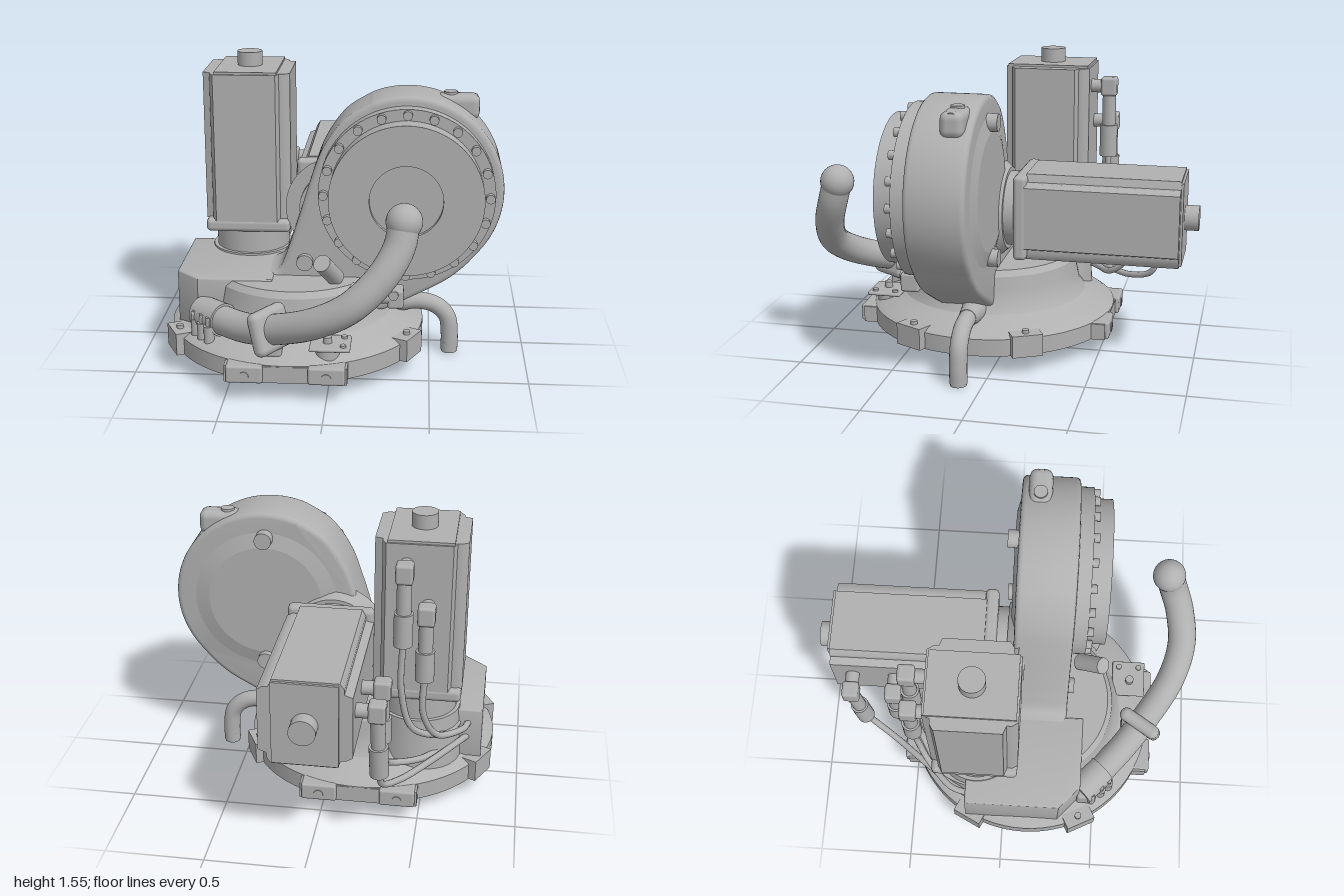
import * as THREE from 'three';
import { toCreasedNormals } from 'three/addons/utils/BufferGeometryUtils.js';
import { RoundedBoxGeometry } from 'three/addons/geometries/RoundedBoxGeometry.js';

const V = (a) => new THREE.Vector3(...a);
const UP = new THREE.Vector3(0, 1, 0);

export function createModel() {
  const root = new THREE.Group();
  const grey = new THREE.MeshStandardMaterial({ color: 0xb0b0b0 });
  grey.name = 'castGrey';

  const add = (name, geo, pos = [0, 0, 0], parent = root) => {
    const m = new THREE.Mesh(geo, grey);
    m.name = name;
    m.position.set(...pos);
    parent.add(m);
    return m;
  };
  const box = (name, size, pos, r = 0) => add(name, r
    ? new RoundedBoxGeometry(...size, 2, r) : new THREE.BoxGeometry(...size), pos);
  // Straight round bar between two points
  const rod = (name, a, b, r0, r1 = r0, seg = 28) => {
    const p = V(a), q = V(b), d = q.clone().sub(p);
    const m = add(name, new THREE.CylinderGeometry(r1, r0, d.length(), seg),
      p.clone().add(q).multiplyScalar(0.5).toArray());
    m.quaternion.setFromUnitVectors(UP, d.normalize());
    return m;
  };
  const tube = (name, pts, r, n = 48, seg = 20) =>
    add(name, new THREE.TubeGeometry(new THREE.CatmullRomCurve3(pts.map(V)), n, r, seg));
  const polygon = (pts) => new THREE.Shape(pts.map((p) => new THREE.Vector2(...p)));
  const extrude = (shape, depth, bevel = 0) => toCreasedNormals(new THREE.ExtrudeGeometry(shape, {
    depth, bevelEnabled: bevel > 0, bevelThickness: bevel, bevelSize: bevel,
    bevelOffset: -bevel, bevelSegments: 3, curveSegments: 64,
  }), 0.6);

  // Round base plate flowing up into the turret
  const CX = -0.197, CZ = 0.12;
  const profile = [[0, 0.1], [0.66, 0.1], [0.66, 0.19], [0.63, 0.212], [0.56, 0.235], [0.5, 0.265],
    [0.47, 0.31], [0.455, 0.38], [0.445, 0.45], [0.42, 0.48], [0, 0.485]];
  add('turretBase', toCreasedNormals(new THREE.LatheGeometry(
    profile.map((p) => new THREE.Vector2(...p)), 80), 0.5), [CX, 0, CZ]);
  rod('bottomBoss', [CX, 0.06, CZ], [CX, 0.11, CZ], 0.18, 0.18, 48);

  // Mounting pads on the plate rim, front and back
  for (const s of [1, -1]) {
    box('rimBlock', [0.6, 0.085, 0.16], [CX, 0.1425, CZ + s * 0.58]);
    for (const t of [1, -1]) {
      const x = CX + t * 0.2;
      box('mountingPad', [0.18, 0.09, 0.1], [x, 0.147, CZ + s * 0.63], 0.012);
      rod('padBolt', [x, 0.14, CZ + s * 0.67], [x, 0.14, CZ + s * 0.685], 0.024);
    }
  }
  // Small lugs on the plate sides
  for (const s of [1, -1]) for (const t of [1, -1]) {
    const a = t * 0.47;
    const m = box('sideLug', [0.13, 0.115, 0.16],
      [CX + s * Math.cos(a) * 0.63, 0.16, CZ + Math.sin(a) * 0.63]);
    m.rotation.y = -s * a;
    const bx = CX + s * Math.cos(a) * 0.65, bz = CZ + Math.sin(a) * 0.65;
    rod('lugBolt', [bx, 0.21, bz], [bx, 0.235, bz], 0.018);
  }

  // Connection box on the right side of the turret
  const side = extrude(polygon([[-0.8, 0.2], [-0.3, 0.2], [-0.3, -0.41],
    [-0.68, -0.41], [-0.8, -0.3]]), 0.28, 0.01);
  side.rotateX(-Math.PI / 2);
  add('connectionBox', side, [0, 0.2, 0]);

  // Arm housing: drum blended down into the turret
  const DX = 0.37, DY = 0.94;
  const hs = new THREE.Shape();
  hs.moveTo(-0.36, 0.3);
  hs.lineTo(-0.345, 0.485);
  hs.splineThru([[-0.275, 0.515], [-0.23, 0.615], [-0.175, 0.78], [-0.115, 0.975], [-0.05, 1.15],
    [0.055, 1.3], [0.19, 1.387]].map((p) => new THREE.Vector2(...p)));
  hs.absarc(DX, DY, 0.482, 1.95, -0.73, true);
  hs.splineThru([[0.66, 0.54], [0.56, 0.46], [0.377, 0.36], [0.26, 0.3]].map((p) => new THREE.Vector2(...p)));
  add('armHousing', extrude(hs, 0.25, 0.025), [0, 0, 0.045]);
  const dish = rod('housingBack', [DX, DY, 0.04], [DX, DY, 0.0], 0.455, 0.3, 64);
  dish.name = 'housingBackDish';
  rod('motorSeat', [0.005, 0.765, 0.05], [0.005, 0.765, -0.015], 0.27, 0.215, 48);
  for (const y of [1.29, 0.6]) rod('housingPlug', [DX, y, 0.05], [DX, y, -0.035], 0.045);

  // Output flange with bolt circle and recessed face
  rod('outputFlange', [DX, DY, 0.31], [DX, DY, 0.39], 0.437, 0.437, 80);
  const face = new THREE.Shape().absarc(DX, DY, 0.38, 0, Math.PI * 2);
  face.holes.push(new THREE.Path().absarc(DX, DY, 0.18, 0, Math.PI * 2, true));
  add('outputFace', extrude(face, 0.1), [0, 0, 0.39]);
  rod('outputRecess', [DX, DY, 0.38], [DX, DY, 0.465], 0.182, 0.182, 48);
  for (let i = 0; i < 20; i++) {
    const a = i * Math.PI / 10, x = DX + 0.41 * Math.cos(a), y = DY + 0.41 * Math.sin(a);
    rod('flangeBolt', [x, y, 0.38], [x, y, 0.42], 0.023, 0.023, 16);
  }

  // Lifting lug on the drum and the fittings under it
  box('liftingLug', [0.22, 0.13, 0.12], [0.615, 1.335, 0.115], 0.04);
  rod('liftingEye', [0.58, 1.35, 0.115], [0.58, 1.41, 0.115], 0.035);
  rod('liftingBar', [0.6, 1.38, 0.115], [0.71, 1.375, 0.115], 0.022);
  rod('oilPlug', [-0.14, 0.56, 0.28], [-0.14, 0.56, 0.35], 0.042);
  rod('stopPin', [0.02, 0.5, 0.38], [-0.04, 0.62, 0.5], 0.045);
  tube('hookBar', [[0.1, 0.475, 0.44], [0.18, 0.44, 0.47], [0.32, 0.43, 0.46]], 0.028, 20, 12);
  box('hookBlock', [0.08, 0.1, 0.1], [0.325, 0.43, 0.44], 0.015);
  rod('hookBolt', [0.315, 0.455, 0.48], [0.315, 0.455, 0.5], 0.024);

  // Square servo motors, built along +y
  const section = [];
  for (let i = 0; i < 4; i++) {
    for (const [x, y] of [[0.225, -0.155], [0.225, 0.155], [0.185, 0.17], [0.185, 0.195], [0.165, 0.225]]) {
      const c = [1, 0, -1, 0][i], s = [0, 1, 0, -1][i];
      section.push([x * c - y * s, x * s + y * c]);
    }
  }
  const bodyGeo = extrude(polygon(section), 0.785).rotateX(-Math.PI / 2);
  const motor = (name, pos, tilt) => {
    const g = new THREE.Group();
    g.name = name;
    g.position.set(...pos);
    g.rotation.x = tilt;
    root.add(g);
    add('motorCollar', new THREE.CylinderGeometry(0.195, 0.195, 0.16, 48), [0, 0.06, 0], g);
    add('motorFlange', new RoundedBoxGeometry(0.445, 0.07, 0.445, 2, 0.025), [0, 0.165, 0], g);
    add('motorBody', bodyGeo, [0, 0.19, 0], g);
    add('motorEndPlate', new THREE.BoxGeometry(0.32, 0.015, 0.43), [0, 0.98, 0], g);
    add('motorStub', new THREE.CylinderGeometry(0.065, 0.065, 0.08, 32), [0, 1.02, 0], g);
  };
  motor('uprightMotor', [-0.465, 0.49, -0.15], 0);
  motor('rearMotor', [0.005, 0.765, 0.06], -Math.PI / 2);
  rod('uprightMotorBoss', [-0.465, 0.2, -0.15], [-0.465, 0.5, -0.15], 0.235, 0.215, 48);

  // Plug: nub from the motor wall, elbow, then hanging body
  const plug = (wall, elbow, end) => {
    rod('plugNub', wall, elbow, 0.036);
    box('plugElbow', [0.085, 0.1, 0.085], elbow, 0.015);
    const mid = elbow.map((v, i) => v * 0.45 + end[i] * 0.55);
    rod('plugNeck', elbow, mid, 0.036);
    rod('plugSleeve', mid, end, 0.047);
  };
  const cable = (pts) => tube('cable', pts, 0.017, 50, 10);
  plug([-0.4, 1.36, -0.36], [-0.4, 1.36, -0.47], [-0.4, 0.98, -0.47]);
  plug([-0.51, 1.15, -0.36], [-0.51, 1.15, -0.47], [-0.51, 0.8, -0.47]);
  plug([-0.2, 0.8, -0.59], [-0.32, 0.8, -0.59], [-0.32, 0.51, -0.59]);
  plug([-0.2, 0.8, -0.81], [-0.32, 0.8, -0.81], [-0.33, 0.43, -0.77]);
  cable([[-0.4, 1, -0.47], [-0.4, 0.72, -0.47], [-0.46, 0.5, -0.44], [-0.62, 0.41, -0.32], [-0.68, 0.41, -0.18]]);
  cable([[-0.51, 0.82, -0.47], [-0.51, 0.6, -0.46], [-0.58, 0.45, -0.4], [-0.7, 0.42, -0.28], [-0.73, 0.41, -0.18]]);
  cable([[-0.32, 0.53, -0.59], [-0.33, 0.4, -0.58], [-0.37, 0.33, -0.5], [-0.52, 0.31, -0.4], [-0.68, 0.33, -0.18]]);
  cable([[-0.33, 0.45, -0.77], [-0.34, 0.35, -0.73], [-0.42, 0.3, -0.6], [-0.56, 0.31, -0.42], [-0.73, 0.33, -0.18]]);

  // Thick curved hose with ball end, clamp and mount
  const hose = [[-0.6, 0.31, 0.47], [-0.4, 0.325, 0.64], [-0.25, 0.37, 0.75], [-0.04, 0.465, 0.88],
    [0.13, 0.57, 0.925], [0.27, 0.71, 0.895], [0.345, 0.84, 0.845], [0.365, 0.95, 0.81]];
  tube('hose', hose, 0.075, 80, 28);
  add('hoseBallEnd', new THREE.SphereGeometry(0.086, 32, 24), hose[7]);
  const clamp = box('hoseClamp', [0.24, 0.22, 0.075], [-0.275, 0.36, 0.73], 0.035);
  clamp.lookAt(0.0, 0.45, 0.91);
  rod('hoseSocket', [-0.66, 0.305, 0.41], [-0.53, 0.315, 0.53], 0.085);
  box('hoseMount', [0.13, 0.12, 0.1], [-0.64, 0.28, 0.45], 0.015);
  for (const [x, z] of [[-0.68, 0.48], [-0.64, 0.53], [-0.6, 0.57]]) {
    rod('mountBolt', [x, 0.2, z], [x, 0.3, z], 0.026);
    rod('mountBoltHead', [x, 0.3, z], [x, 0.345, z], 0.015);
  }
  box('clampFoot', [0.1, 0.12, 0.1], [-0.27, 0.27, 0.68], 0.015);

  // Sensor plate on the front of the base
  box('sensorPlate', [0.2, 0.018, 0.18], [0.015, 0.265, 0.665], 0.008);
  rod('sensorPost', [0, 0.19, 0.67], [0, 0.262, 0.67], 0.06);
  rod('sensorPin', [0, 0.26, 0.67], [0, 0.305, 0.67], 0.022);
  for (const z of [0.61, 0.72]) rod('sensorScrew', [0.08, 0.265, z], [0.08, 0.285, z], 0.015);

  // Drain arm on the left side, bending down to the ground
  tube('drainArm', [[0.2, 0.28, CZ], [0.38, 0.285, CZ], [0.52, 0.265, CZ], [0.59, 0.2, CZ], [0.607, 0.1, CZ],
    [0.607, 0.01, CZ]], 0.045, 48, 24);
  rod('drainArmRoot', [0.22, 0.275, CZ], [0.42, 0.285, CZ], 0.075, 0.046);
  rod('drainArmTip', [0.607, 0, CZ], [0.607, 0.06, CZ], 0.042, 0.045);

  return root;
}
